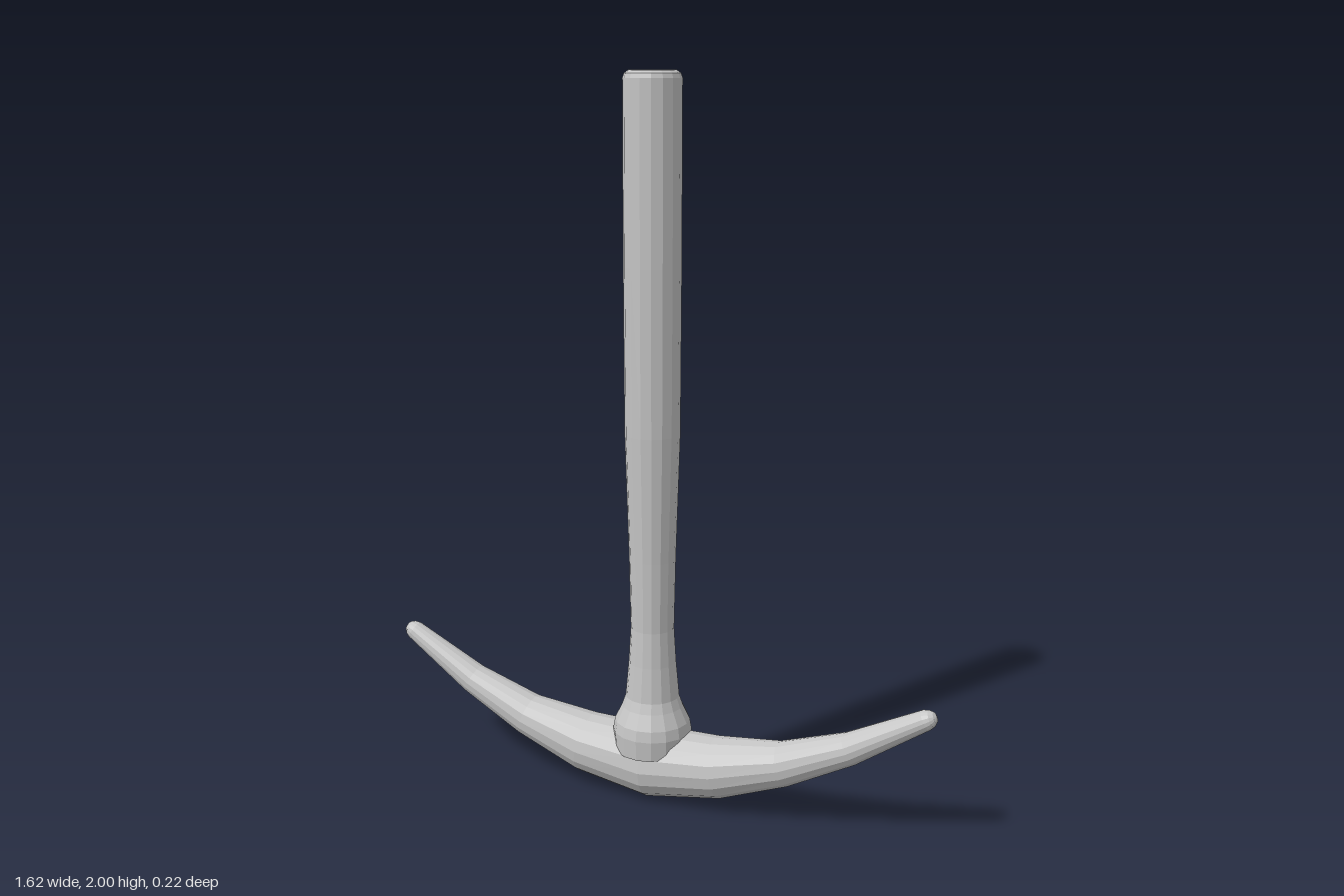
import * as THREE from 'three';

const SIDES = 16;

// Loft round rings, square to a path in the xy plane, into one solid.
function loftRound(rings) {
  const pos = [], index = [];
  rings.forEach(([x, y, r], i) => {
    const a = rings[Math.max(i - 1, 0)], b = rings[Math.min(i + 1, rings.length - 1)];
    const len = Math.hypot(b[0] - a[0], b[1] - a[1]);
    const nx = -(b[1] - a[1]) / len, ny = (b[0] - a[0]) / len;
    for (let j = 0; j < SIDES; j++) {
      const t = (j / SIDES) * Math.PI * 2;
      const c = Math.cos(t) * r;
      pos.push(x + nx * c, y + ny * c, Math.sin(t) * r);
    }
  });
  for (let i = 0; i < rings.length - 1; i++) {
    for (let j = 0; j < SIDES; j++) {
      const k = (j + 1) % SIDES;
      const a = i * SIDES + j, b = i * SIDES + k, c = a + SIDES, d = b + SIDES;
      index.push(a, b, c, b, d, c);
    }
  }
  const geo = new THREE.BufferGeometry();
  geo.setAttribute('position', new THREE.Float32BufferAttribute(pos, 3));
  geo.setIndex(index);
  const flat = geo.toNonIndexed();
  flat.computeVertexNormals();
  return flat;
}

export function createModel() {
  const group = new THREE.Group();
  group.name = 'pickaxe';
  const grey = new THREE.MeshStandardMaterial({ color: 0xc4c4c4, flatShading: true });
  grey.name = 'grey';

  // Curved double-pointed head: x, y, radius of one half, ending in a rounded tip
  const half = [
    [0.205, 0.12, 0.086], [0.395, 0.168, 0.062], [0.58, 0.248, 0.045],
    [0.782, 0.367, 0.028], [0.796, 0.374, 0.023], [0.805, 0.379, 0.014], [0.809, 0.381, 0.0005],
  ];
  const mirrored = half.map(([x, y, r]) => [-x, y, r]).reverse();
  const head = new THREE.Mesh(loftRound([...mirrored, [0, 0.1, 0.1], ...half]), grey);
  head.name = 'head';
  group.add(head);

  // Handle with a flared collar that sits over the head
  const profile = [
    [0, 0.143], [0.106, 0.143], [0.11, 0.2], [0.105, 0.23], [0.085, 0.272], [0.075, 0.3],
    [0.066, 0.4], [0.06, 0.5], [0.064, 0.7], [0.075, 1.05], [0.077, 1.5],
    [0.077, 1.98], [0.073, 1.992], [0.062, 2], [0, 2],
  ].map(([r, y]) => new THREE.Vector2(r, y));
  const handle = new THREE.Mesh(new THREE.LatheGeometry(profile, SIDES), grey);
  handle.name = 'handle';
  group.add(handle);

  return group;
}
